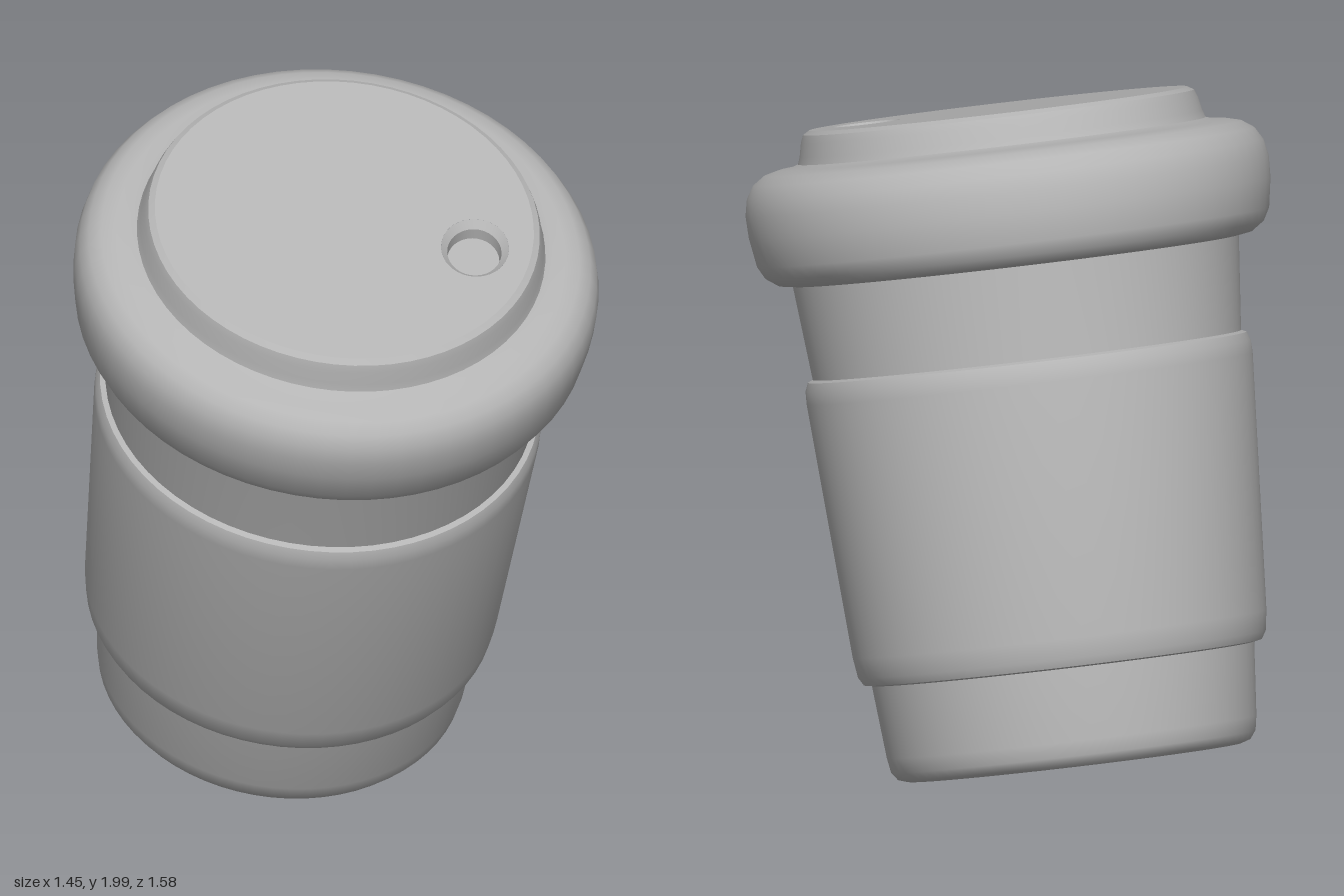
import * as THREE from 'three';
import { toCreasedNormals } from 'three/addons/utils/BufferGeometryUtils.js';

const SEGMENTS = 64;

export function createModel() {
  const grey = new THREE.MeshStandardMaterial({ color: 0xb4b4b4 });
  grey.name = 'grey';

  // The whole cup leans towards its front right
  const model = new THREE.Group();
  model.name = 'takeawayCup';
  const cup = new THREE.Group();
  cup.name = 'leaningCup';
  const axis = new THREE.Vector3(-0.168, 1, 0.285).normalize();
  cup.quaternion.setFromUnitVectors(new THREE.Vector3(0, 1, 0), axis);
  cup.position.set(0.215, 0.152, -0.31);
  model.add(cup);

  function add(name, geometry) {
    const mesh = new THREE.Mesh(geometry, grey);
    mesh.name = name;
    cup.add(mesh);
    return mesh;
  }
  // Surface of revolution from [radius, height] pairs
  function turned(name, profile, segments = SEGMENTS) {
    const points = profile.map(([r, h]) => new THREE.Vector2(r, h));
    return add(name, toCreasedNormals(new THREE.LatheGeometry(points, segments), 0.65));
  }

  // Paper cup with a rounded foot
  turned('cupBody', [
    [0, 0], [0.455, 0], [0.48, 0.008], [0.496, 0.03], [0.503, 0.07],
    [0.523, 0.3], [0.582, 1.1], [0.612, 1.42],
  ]);

  // Raised sleeve around the middle
  turned('sleeve', [
    [0.515, 0.268], [0.542, 0.273], [0.555, 0.295], [0.563, 0.35],
    [0.607, 1.045], [0.606, 1.08], [0.597, 1.103], [0.575, 1.112],
  ]);

  // Lid with a thick rounded rim and a raised plateau
  const top = 1.78;
  turned('lid', [
    [0.6, 1.365], [0.645, 1.372], [0.678, 1.395], [0.697, 1.43], [0.71, 1.51],
    [0.712, 1.57], [0.703, 1.615], [0.682, 1.65], [0.65, 1.672], [0.61, 1.682],
    [0.575, 1.685], [0.555, 1.692], [0.548, 1.712], [0.54, 1.75],
    [0.532, 1.77], [0.515, top],
  ]);

  // Sip hole position on the lid plane
  const hole = new THREE.Vector3(0.19, -0.0545, 0.303)
    .applyQuaternion(cup.quaternion.clone().invert());

  // Flat plateau with the sip hole cut out
  const disc = new THREE.Shape();
  disc.absarc(0, 0, 0.515, 0, Math.PI * 2);
  const cut = new THREE.Path();
  cut.absellipse(hole.x, -hole.z, 0.108, 0.092, 0, Math.PI * 2, true, 0.6);
  disc.holes.push(cut);
  const discGeometry = new THREE.ShapeGeometry(disc, 32);
  discGeometry.rotateX(-Math.PI / 2);
  add('lidTop', discGeometry).position.y = top;

  // Bevelled recess of the sip hole
  const recess = turned('sipHole', [
    [1, 0], [0.8, -0.018], [0.77, -0.05], [0, -0.05],
  ], 32);
  recess.scale.set(0.108, 1, 0.092);
  recess.rotation.y = 0.6;
  recess.position.set(hole.x, top, hole.z);

  return model;
}
